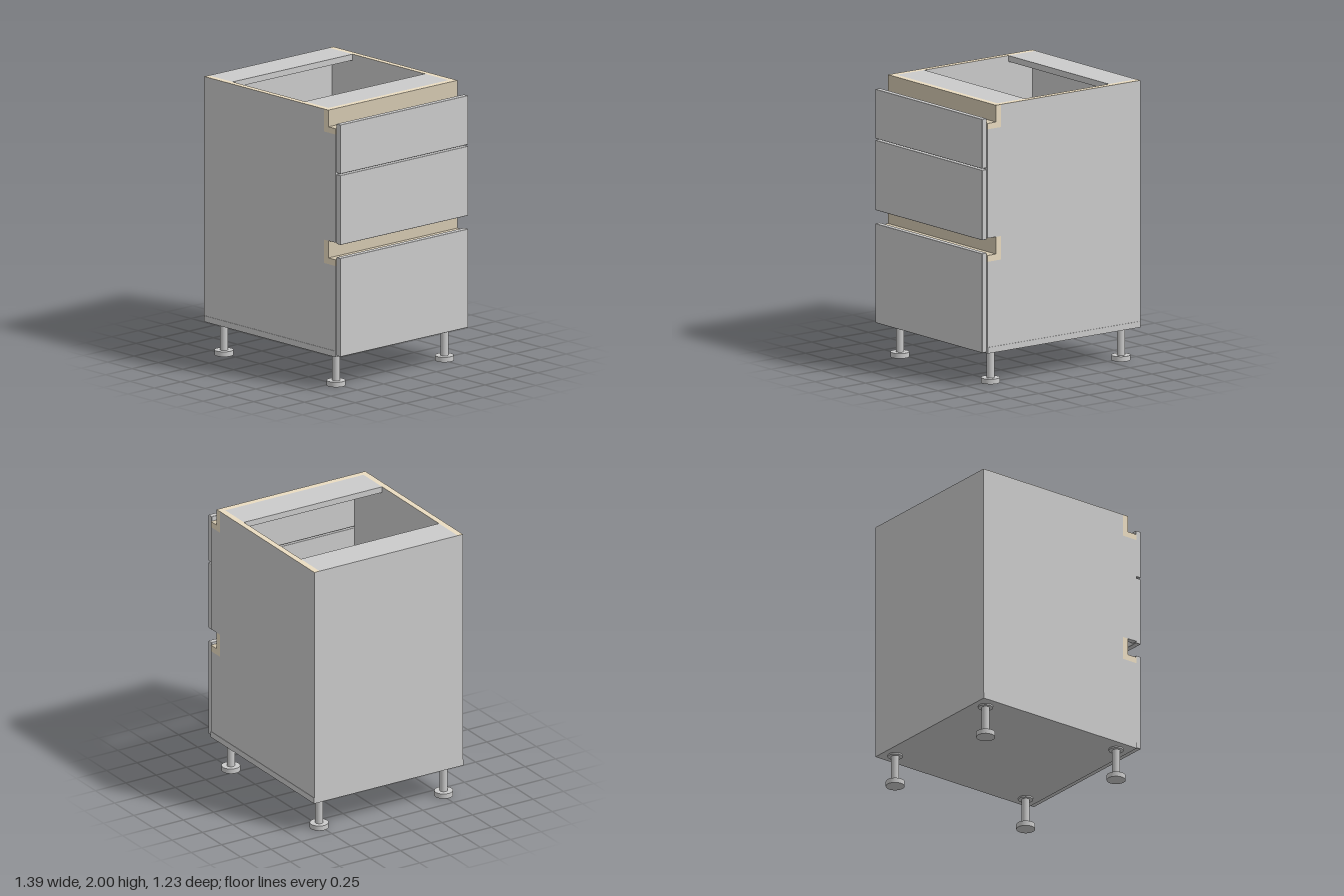
import * as THREE from 'three';
import { RoundedBoxGeometry } from 'three/addons/geometries/RoundedBoxGeometry.js';

const grey = new THREE.MeshStandardMaterial({ color: 0xcccccc });
const paleEdge = new THREE.MeshStandardMaterial({ color: 0xeadcc1 });
const channelTan = new THREE.MeshStandardMaterial({ color: 0xd4c8b0 });

const BACK = -0.7, FRONT = 0.65, TOP = 2, HALF = 0.612, BOARD = 0.043;
const INNER = HALF - BOARD;

function add(group, name, geometry, material = grey) {
  const mesh = new THREE.Mesh(geometry, material);
  mesh.name = name;
  group.add(mesh);
  return mesh;
}

// Box given by its minimum and maximum corners
function box(group, name, [x0, y0, z0], [x1, y1, z1], material) {
  const mesh = add(group, name, new THREE.BoxGeometry(x1 - x0, y1 - y0, z1 - z0), material);
  mesh.position.set((x0 + x1) / 2, (y0 + y1) / 2, (z0 + z1) / 2);
  return mesh;
}

// Profile in the x-y plane, extruded along z
function prism(points, z0, z1) {
  const shape = new THREE.Shape(points.map(([x, y]) => new THREE.Vector2(x, y)));
  return new THREE.ExtrudeGeometry(shape, { depth: z1 - z0, bevelEnabled: false }).translate(0, 0, z0);
}

function createLeg() {
  const leg = new THREE.Group();
  leg.name = 'leg';
  // [name, radius, bottom, top]
  for (const [name, r, y0, y1] of [
    ['footPad', 0.066, 0, 0.036],
    ['legShaft', 0.028, 0.036, 0.226],
    ['legFlange', 0.052, 0.226, 0.237],
  ]) {
    add(leg, name, new THREE.CylinderGeometry(r, r, y1 - y0, 32)).position.y = (y0 + y1) / 2;
  }
  return leg;
}

export function createModel() {
  const cabinet = new THREE.Group();
  cabinet.name = 'drawerCabinet';

  // Side panels, notched for the two grip channels
  const sideProfile = [
    [BACK, 0.28], [FRONT, 0.28], [FRONT, 0.892], [0.53, 0.892], [0.53, 1.06],
    [FRONT, 1.06], [FRONT, 1.838], [0.53, 1.838], [0.53, TOP - 0.002], [BACK, TOP - 0.002],
  ];
  for (const s of [-1, 1]) {
    const [z0, z1] = s < 0 ? [-HALF, -INNER] : [INNER, HALF];
    add(cabinet, 'sidePanel', prism(sideProfile, z0, z1));
    box(cabinet, 'sideTopEdge', [BACK, TOP - 0.002, z0], [0.53, TOP, z1], paleEdge);
  }

  // Bottom, back and the two top rails
  box(cabinet, 'bottomPanel', [BACK, 0.237, -0.615], [FRONT, 0.28, 0.615]);
  box(cabinet, 'backPanel', [BACK, 0.28, -INNER], [BACK + 0.033, TOP - BOARD, INNER]);
  box(cabinet, 'rearTopRail', [BACK, TOP - BOARD, -INNER], [-0.455, TOP, INNER]);
  box(cabinet, 'frontTopRail', [0.287, TOP - BOARD, -INNER], [0.53, TOP, INNER]);

  // L-shaped grip channels: [bottom, ledge, top]
  for (const [y0, y1, y2] of [[1.838, 1.88, TOP - 0.002], [0.892, 0.937, 1.06]]) {
    const profile = [[0.53, y0], [FRONT, y0], [FRONT, y1], [0.575, y1], [0.575, y2], [0.53, y2]];
    add(cabinet, 'gripChannel', prism(profile, -HALF, HALF), [paleEdge, channelTan]);
  }
  box(cabinet, 'channelTopEdge', [0.53, TOP - 0.002, -HALF], [0.575, TOP, HALF], paleEdge);

  // Drawer fronts with slightly eased edges
  for (const [y0, y1] of [[0.245, 0.955], [1.05, 1.551], [1.561, 1.915]]) {
    const front = add(cabinet, 'drawerFront', new RoundedBoxGeometry(0.043, y1 - y0, 1.212, 2, 0.005));
    front.position.set(FRONT + 0.0215, (y0 + y1) / 2, 0);
  }

  // Four adjustable legs
  for (const x of [-0.605, 0.547]) {
    for (const z of [-0.513, 0.513]) {
      const leg = createLeg();
      leg.position.set(x, 0, z);
      cabinet.add(leg);
    }
  }
  return cabinet;
}
